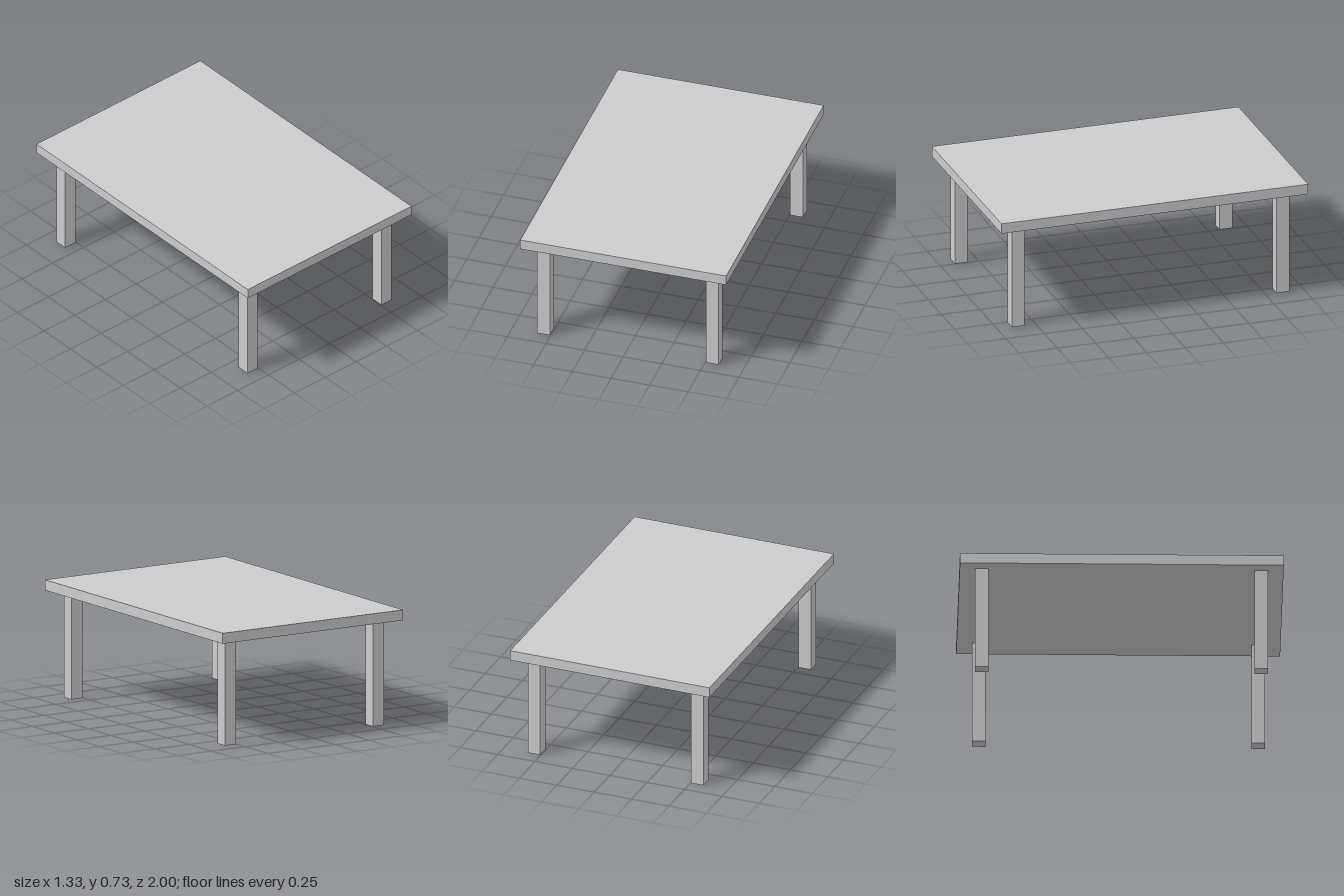
import * as THREE from 'three';

export function createModel() {
  const model = new THREE.Group();
  model.name = 'table';
  const material = new THREE.MeshStandardMaterial({ color: 0xcccccc });

  function addBox(name, size, position) {
    const mesh = new THREE.Mesh(new THREE.BoxGeometry(...size), material);
    mesh.name = name;
    mesh.position.set(...position);
    model.add(mesh);
  }

  const legHeight = 0.667;
  const legWidth = 0.083;
  const topThickness = 0.066;

  // Flat slab top
  addBox('tableTop', [1.333, topThickness, 2], [0, legHeight + topThickness / 2, 0]);

  // Four square legs, inset from the corners
  for (const [side, sx] of [['Left', 1], ['Right', -1]]) {
    for (const [end, sz] of [['front', 1], ['back', -1]]) {
      addBox(`${end}${side}Leg`, [legWidth, legHeight, legWidth],
        [sx * 0.546, legHeight / 2, sz * 0.863]);
    }
  }

  return model;
}
